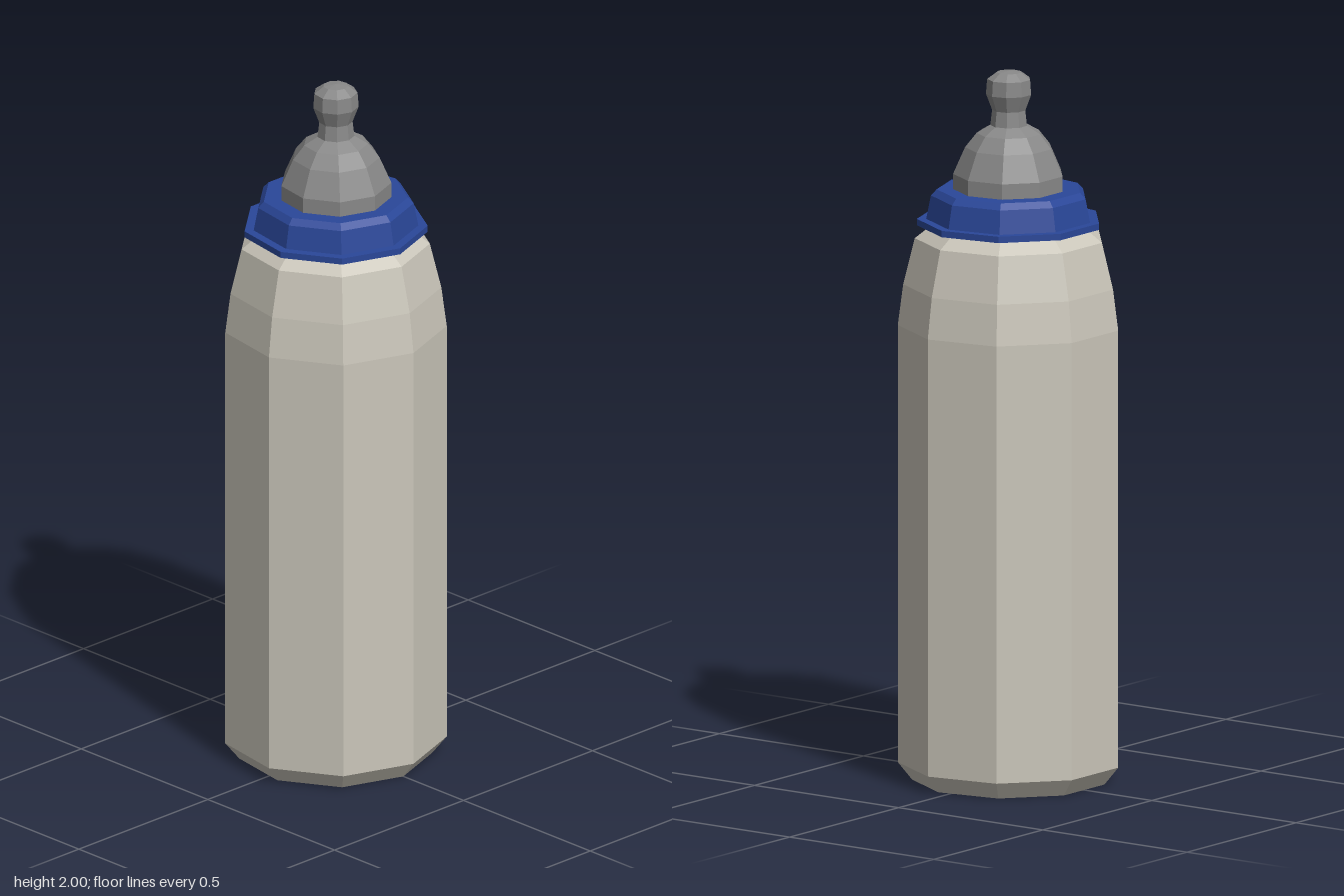
import * as THREE from 'three';

const SIDES = 9;

// Nine-sided turned part with one corner on +x, centred by its bounding box.
function turned(name, color, profile) {
  const points = profile.map(([r, y]) => new THREE.Vector2(r, y));
  const geometry = new THREE.LatheGeometry(points, SIDES, Math.PI / 2);
  const widest = Math.max(...profile.map(([r]) => r));
  geometry.translate(-widest * (1 - Math.cos(Math.PI / SIDES)) / 2, 0, 0);
  const material = new THREE.MeshStandardMaterial({ color, flatShading: true });
  const mesh = new THREE.Mesh(geometry, material);
  mesh.name = name;
  return mesh;
}

export function createModel() {
  const group = new THREE.Group();
  group.name = 'babyBottle';

  // Bottle with bevelled foot and rounded shoulder
  group.add(turned('bottleBody', 0xcac6ba, [
    [0, 0], [0.272, 0], [0.312, 0.05], [0.312, 1.285],
    [0.297, 1.4], [0.265, 1.53], [0.22, 1.565], [0, 1.565],
  ]));

  // Screw collar with thin flange and bevelled top
  group.add(turned('collar', 0x2a4799, [
    [0, 1.566], [0.258, 1.566], [0.258, 1.584], [0.232, 1.584],
    [0.219, 1.65], [0.203, 1.667], [0, 1.667],
  ]));

  // Teat: dome, narrow neck and rounded tip
  group.add(turned('teat', 0x888888, [
    [0, 1.66], [0.155, 1.66], [0.155, 1.71], [0.122, 1.785],
    [0.09, 1.825], [0.052, 1.847], [0.047, 1.89], [0.064, 1.935],
    [0.061, 1.977], [0.035, 1.996], [0, 2],
  ]));

  return group;
}
